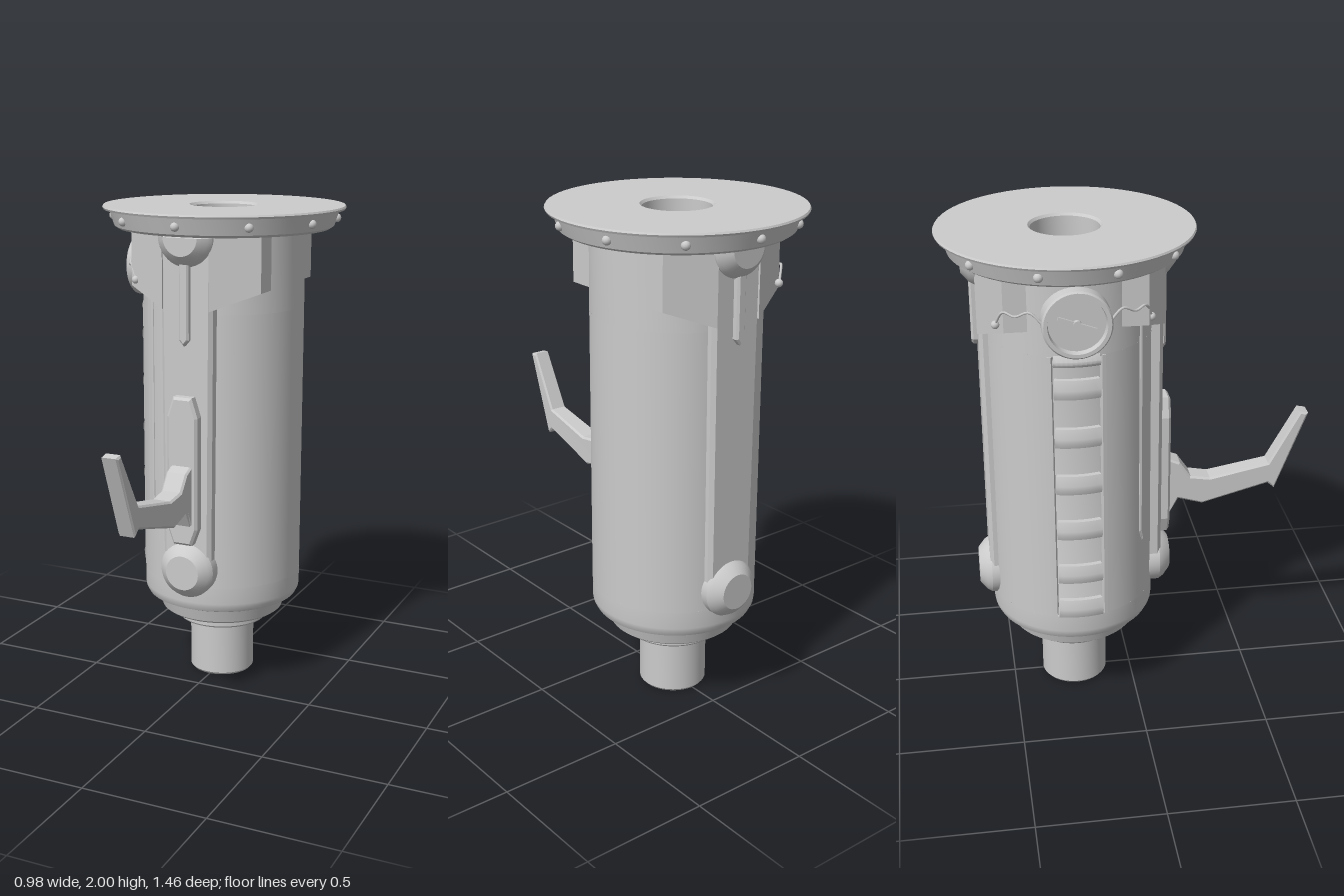
import * as THREE from 'three';
import { toCreasedNormals } from 'three/addons/utils/BufferGeometryUtils.js';

const material = new THREE.MeshStandardMaterial({ color: 0xcccccc, side: THREE.DoubleSide });
const V = (pts) => pts.map(([x, y]) => new THREE.Vector2(x, y));

function add(parent, name, geometry) {
  const mesh = new THREE.Mesh(geometry, material);
  mesh.name = name;
  parent.add(mesh);
  return mesh;
}

// Turned profile with crisp edges
function lathe(pts, seg = 64, start = 0, length = Math.PI * 2) {
  return toCreasedNormals(new THREE.LatheGeometry(V(pts), seg, start, length), 0.5);
}

// Flat outline extruded from z0 to z1, with a small chamfer
function plate(pts, z0, z1, bevel = 0) {
  const g = new THREE.ExtrudeGeometry(new THREE.Shape(V(pts)), {
    depth: z1 - z0 - bevel, bevelEnabled: bevel > 0, bevelSegments: 1,
    bevelSize: bevel, bevelThickness: bevel, bevelOffset: -bevel,
  });
  return g.translate(0, 0, z0);
}

// Features shared by the front and the back
function buildSpine(name, barBottom) {
  const g = new THREE.Group();
  g.name = name;
  add(g, 'spineRail', plate([[-0.105, 0.54], [0.105, 0.54], [0.112, 1.91], [-0.112, 1.91]], 0.22, 0.36, 0.015));

  // Angled collar wings beside the rail
  for (const s of [-1, 1]) {
    const wing = plate([[s * 0.1, 1.62], [s * 0.28, 1.69], [s * 0.28, 1.91], [s * 0.1, 1.91]], 0.17, 0.365);
    const p = wing.attributes.position;
    for (let i = 0; i < p.count; i++) {
      if (p.getZ(i) > 0.3) p.setZ(i, 0.365 - (Math.abs(p.getX(i)) - 0.1) * 0.5);
    }
    wing.computeVertexNormals();
    add(g, 'collarWing', wing);
  }

  // Round boss at the bottom, half boss under the flange
  const boss = [[0.117, 0.3], [0.117, 0.355], [0.105, 0.375], [0.072, 0.403], [0, 0.403]];
  add(g, 'lowerBoss', lathe(boss, 32).rotateX(Math.PI / 2).translate(0, 0.55, 0));
  add(g, 'upperBoss', lathe(boss, 24, -Math.PI / 2, Math.PI).rotateX(Math.PI / 2).translate(0, 1.905, 0.01));

  // Pointed bar hanging from the upper boss
  add(g, 'pointedBar', plate([[-0.021, 1.85], [-0.021, barBottom + 0.025], [0, barBottom],
    [0.021, barBottom + 0.025], [0.021, 1.85]], 0.34, 0.385, 0.008));
  return g;
}

export function createModel() {
  const model = new THREE.Group();
  const unit = new THREE.Group();
  unit.name = 'canister';
  unit.position.z = -0.24;
  model.add(unit);

  // Outlet pipe, stepped base and lower wall
  const R = 0.33, y0 = 0.47, y1 = 1.6, gap = 0.31, left = Math.PI * 1.5;
  add(unit, 'base', lathe([[0, 0.12], [0.12, 0.12], [0.122, 0.008], [0.128, 0], [0.136, 0.01], [0.136, 0.24],
    [0.185, 0.24], [0.19, 0.247], [0.19, 0.285], [0.245, 0.285], [0.258, 0.295], [0.274, 0.35],
    [0.295, 0.355], [0.318, 0.365], [0.328, 0.385], [R, 0.4], [R, y0]]));
  // Middle wall, open on one side for the slot
  add(unit, 'wall', lathe([[R, y0], [R, y1]], 64, left + gap, Math.PI * 2 - gap * 2));
  // Upper wall, flange and recessed top opening
  add(unit, 'flange', lathe([[R, y1], [R, 1.91], [0.43, 1.91], [0.445, 1.92], [0.465, 1.983], [0.488, 1.985],
    [0.492, 1.993], [0.488, 2], [0.14, 2], [0.132, 1.99], [0.132, 1.9], [0, 1.9]]));

  // Rivets around the flange
  for (let i = 0; i < 10; i++) {
    const a = (i * Math.PI) / 5;
    add(unit, 'rivet', new THREE.SphereGeometry(0.018, 12, 8)).position.set(0.454 * Math.sin(a), 1.95, 0.454 * Math.cos(a));
  }

  // Shallow slot with a ladder of curved rungs
  add(unit, 'slotFloor', lathe([[R, y0], [0.312, y0 + 0.04], [0.312, y1 - 0.02], [R, y1]], 12, left - gap, gap * 2));
  for (const s of [-1, 1]) {
    const edge = add(unit, 'slotEdge', new THREE.BoxGeometry(0.035, y1 - y0, 0.015));
    edge.position.set(-0.318 * Math.cos(gap), (y0 + y1) / 2, s * 0.318 * Math.sin(gap));
    edge.rotation.y = s * gap;
  }
  for (const y of [0.51, 0.67, 0.87, 1.07, 1.27, 1.47, 1.585]) {
    const h = y > 1.5 ? 0.022 : 0.038;
    add(unit, 'rung', lathe([[0.31, y - h], [0.338, y - h], [0.344, y - h * 0.5], [0.344, y],
      [0.332, y + h], [0.31, y + h]], 10, left - gap * 0.85, gap * 1.7));
  }

  // Front and back rails, collars and bosses
  unit.add(buildSpine('frontSpine', 1.48));
  const back = buildSpine('backSpine', 1.54);
  back.rotation.y = Math.PI;
  back.position.z = 0.015;
  unit.add(back);

  // Slim pointed strip on the front quarter of the wall
  const strip = plate([[-0.02, 1.72], [-0.02, 0.78], [0, 0.73], [0.02, 0.78], [0.02, 1.72]], 0.31, 0.338, 0.006);
  add(unit, 'sideStrip', strip).rotation.y = -0.65;

  // Gauge with a sunken face and needle
  const gauge = new THREE.Group();
  gauge.name = 'gauge';
  gauge.position.y = 1.743;
  unit.add(gauge);
  add(gauge, 'gaugeCase', lathe([[0.13, 0.28], [0.13, 0.378], [0.124, 0.385], [0.11, 0.385], [0.106, 0.36], [0, 0.36]], 40).rotateZ(Math.PI / 2));
  add(gauge, 'gaugeHub', new THREE.CylinderGeometry(0.016, 0.016, 0.02, 12).rotateZ(Math.PI / 2).translate(-0.367, 0, 0));
  add(gauge, 'gaugeNeedle', new THREE.BoxGeometry(0.008, 0.014, 0.15).rotateX(0.35).translate(-0.366, 0, 0));

  // Thin wires from the gauge to studs on the collar
  for (const s of [-1, 1]) {
    const wire = new THREE.CatmullRomCurve3([[-0.35, 1.74, 0.12], [-0.335, 1.785, 0.17], [-0.315, 1.765, 0.22],
      [-0.29, 1.775, 0.26], [-0.255, 1.715, 0.29]].map(([x, y, z]) => new THREE.Vector3(x, y, s * z)));
    add(unit, 'wire', new THREE.TubeGeometry(wire, 24, 0.005, 6));
    add(unit, 'stud', new THREE.SphereGeometry(0.016, 12, 8)).position.set(-0.255, 1.715, s * 0.288);
  }

  // Lever plate with clipped corners
  add(unit, 'leverPlate', plate([[-0.04, 0.67], [0.04, 0.67], [0.066, 0.74], [0.066, 1.2], [0.04, 1.28],
    [-0.04, 1.28], [-0.066, 1.2], [-0.066, 0.74]], 0.34, 0.403, 0.01));

  // Bent lever: side profile extruded across x, narrowing to its tip
  const lever = plate([[0.155, 0.74], [0.2, 0.82], [0.3, 0.79], [0.575, 0.865], [0.603, 0.84], [0.73, 1.175],
    [0.695, 1.182], [0.573, 0.957], [0.33, 0.907], [0.25, 0.92], [0.205, 0.985], [0.155, 1.005]], -0.042, 0.042, 0.008);
  lever.rotateY(-Math.PI / 2);
  const p = lever.attributes.position;
  for (let i = 0; i < p.count; i++) {
    const t = THREE.MathUtils.clamp((p.getZ(i) - 0.2) / 0.5, 0, 1);
    p.setX(i, p.getX(i) * (1 - 0.25 * t) - 0.006 - 0.012 * t);
  }
  lever.computeVertexNormals();
  add(model, 'lever', lever);
  return model;
}
